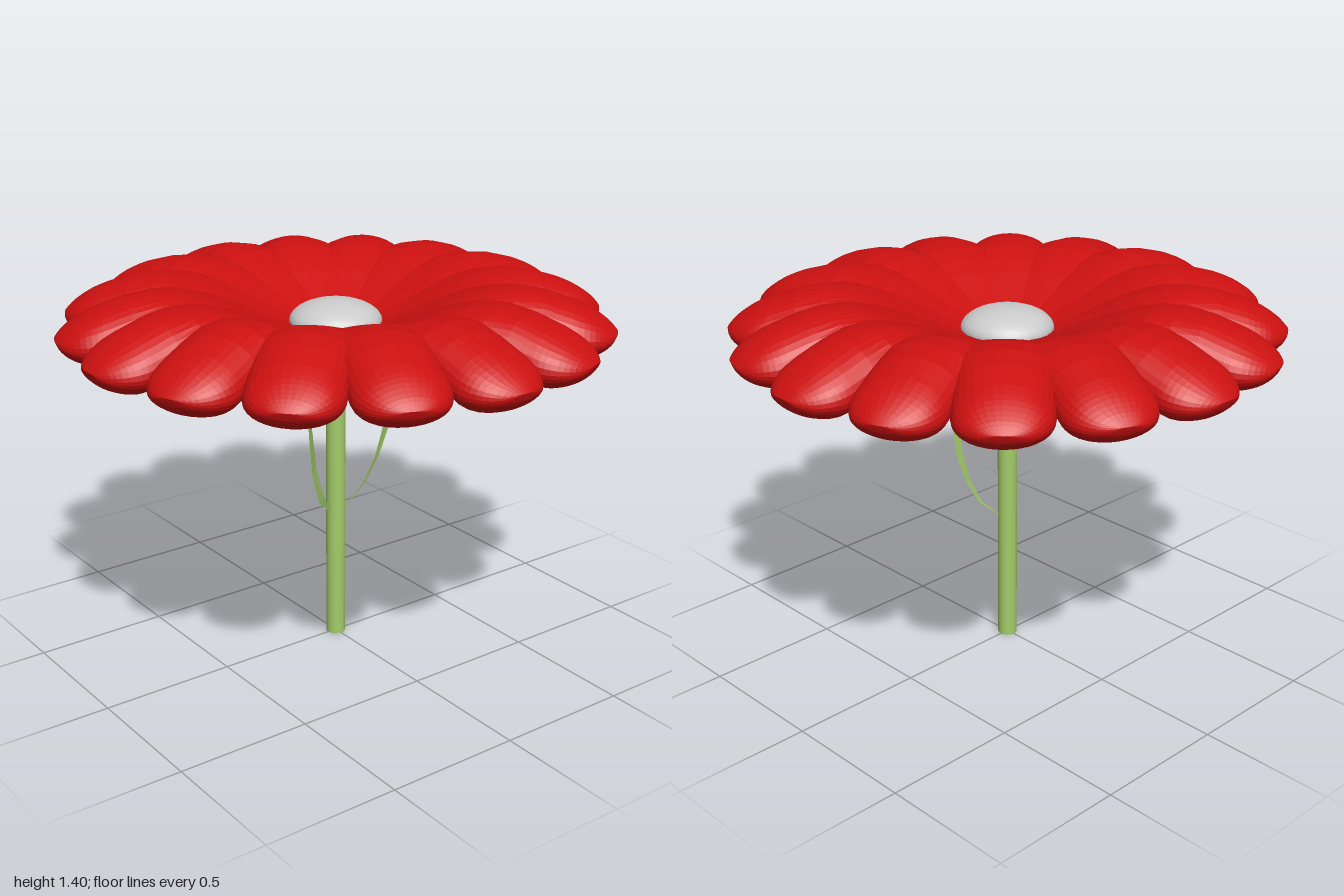
import * as THREE from 'three';

const red = new THREE.MeshStandardMaterial({ color: 0xcc1010, flatShading: true });
const green = new THREE.MeshStandardMaterial({ color: 0xa3cc6a });
const leafGreen = new THREE.MeshStandardMaterial({ color: 0xa3cc6a, flatShading: true, side: THREE.DoubleSide });
const grey = new THREE.MeshStandardMaterial({ color: 0xcccccc });

const PETALS = 16;

// Smooth height profile along the petal: takes [radius, height] points, returns a function of radius
function profile(points) {
  const line = new THREE.SplineCurve(points.map(([r, y]) => new THREE.Vector2(r, y))).getPoints(90);
  return (r) => {
    const i = line.findIndex((p) => p.x >= r - 1e-6);
    if (i < 1) return line[i < 0 ? line.length - 1 : 0].y;
    return THREE.MathUtils.mapLinear(r, line[i - 1].x, line[i].x, line[i - 1].y, line[i].y);
  };
}

// The upper side rises out of a bowl and droops; the underside is hollow with a hanging tip
const upper = profile([[0.08, 1.23], [0.17, 1.25], [0.3, 1.302], [0.45, 1.363], [0.6, 1.398],
  [0.75, 1.383], [0.88, 1.338], [0.96, 1.29], [1, 1.25]]);
const lower = profile([[0.08, 1.22], [0.17, 1.238], [0.3, 1.276], [0.42, 1.3], [0.55, 1.292],
  [0.65, 1.25], [0.75, 1.19], [0.85, 1.157], [0.93, 1.175], [0.98, 1.21], [1, 1.25]]);

// One petal along +z: a sphere with its poles at the ends, reshaped ring by ring
function petalGeometry() {
  const geo = new THREE.SphereGeometry(1, 32, 24).rotateX(Math.PI / 2);
  const pos = geo.attributes.position;
  for (let i = 0; i < pos.count; i++) {
    const z = pos.getZ(i);
    const r = 0.84 + z * (z > 0 ? 0.16 : 0.76);
    const width = 0.165 * Math.sqrt(Math.max(0, 1 - Math.abs(z) ** (z > 0 ? 2 : 4)));
    const angle = Math.atan2(pos.getY(i), pos.getX(i));
    const top = upper(r), bottom = lower(r);
    const rim = THREE.MathUtils.lerp(bottom, top, 0.45);
    const s = Math.sin(angle);
    pos.setXYZ(i, Math.cos(angle) * width, rim + s * (s > 0 ? top - rim : rim - bottom), r);
  }
  geo.computeVertexNormals();
  return geo;
}

// Thin leaf from rows of [x1, z1, x2, z2, y], one row per pair of edge points
function leaf(name, rows) {
  const points = rows.flatMap(([x1, z1, x2, z2, y]) => [x1, y, z1, x2, y, z2]);
  const index = [];
  for (let i = 0; i < rows.length - 1; i++) {
    const a = i * 2;
    index.push(a, a + 1, a + 2, a + 1, a + 3, a + 2);
  }
  const geo = new THREE.BufferGeometry();
  geo.setAttribute('position', new THREE.Float32BufferAttribute(points, 3));
  geo.setIndex(index);
  geo.computeVertexNormals();
  const mesh = new THREE.Mesh(geo, leafGreen);
  mesh.name = name;
  return mesh;
}

export function createModel() {
  const flower = new THREE.Group();
  flower.name = 'flower';

  // Ring of petals
  const petals = new THREE.Group();
  petals.name = 'petals';
  const geo = petalGeometry();
  for (let i = 0; i < PETALS; i++) {
    const petal = new THREE.Mesh(geo, red);
    petal.name = 'petal';
    petal.rotation.y = (i / PETALS) * Math.PI * 2;
    petals.add(petal);
  }
  flower.add(petals);

  // Flattened centre
  const centre = new THREE.Mesh(new THREE.SphereGeometry(0.168, 32, 16), grey);
  centre.name = 'flowerCentre';
  centre.scale.y = 0.46;
  centre.position.y = 1.248;
  flower.add(centre);

  // Stem
  const stem = new THREE.Mesh(new THREE.CylinderGeometry(0.036, 0.036, 1.2, 24), green);
  stem.name = 'stem';
  stem.position.y = 0.6;
  flower.add(stem);

  // Leaves
  flower.add(leaf('rightLeaf', [
    [-0.04, 0.025, -0.03, 0.015, 0.515],
    [-0.17, 0.13, -0.12, 0.09, 0.62],
    [-0.225, 0.165, -0.175, 0.12, 0.76],
    [-0.255, 0.19, -0.212, 0.15, 0.91],
    [-0.277, 0.21, -0.275, 0.207, 1.06],
  ]));
  flower.add(leaf('leftLeaf', [
    [0.03, 0.01, 0.035, 0.01, 0.51],
    [0.12, 0.015, 0.135, 0.012, 0.595],
    [0.165, 0.025, 0.19, 0.018, 0.69],
    [0.192, 0.035, 0.228, 0.027, 0.8],
    [0.192, 0.05, 0.234, 0.042, 0.92],
    [0.216, 0.058, 0.222, 0.056, 0.97],
  ]));

  return flower;
}
